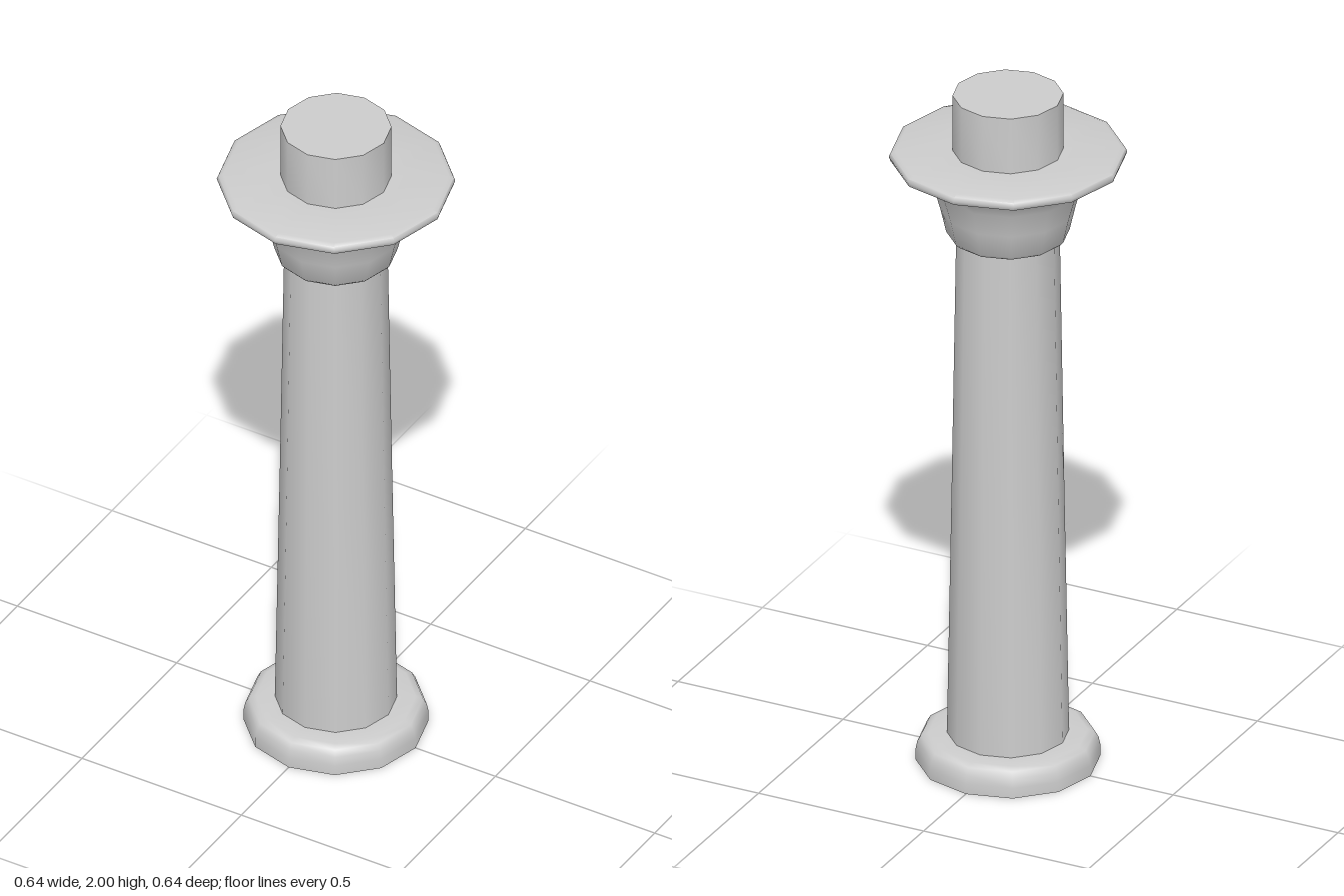
import * as THREE from 'three';
import { toCreasedNormals } from 'three/addons/utils/BufferGeometryUtils.js';

const SIDES = 12;
const material = new THREE.MeshStandardMaterial({ color: 0xcccccc, side: THREE.DoubleSide });

// Turned part from [radius, height] pairs running bottom to top
function turned(name, profile) {
  const points = profile.map(([r, y]) => new THREE.Vector2(r, y));
  const geometry = toCreasedNormals(new THREE.LatheGeometry(points, SIDES), THREE.MathUtils.degToRad(50));
  const mesh = new THREE.Mesh(geometry, material);
  mesh.name = name;
  return mesh;
}

export function createModel() {
  const column = new THREE.Group();
  column.name = 'column';
  column.add(
    // Rounded foot, open underneath
    turned('base', [[0.25, 0], [0.25, 0.03], [0.245, 0.055], [0.235, 0.073], [0.215, 0.08], [0.165, 0.08]]),
    // Hollow tapering shaft
    turned('shaft', [[0.165, 0.08], [0.152, 0.83], [0.14, 1.58]]),
    // Flared capital with a thin rounded rim
    turned('capital', [
      [0.14, 1.58], [0.158, 1.58], [0.167, 1.59], [0.183, 1.66], [0.203, 1.73], [0.225, 1.77],
      [0.255, 1.8], [0.305, 1.802], [0.318, 1.808], [0.322, 1.82], [0.318, 1.83], [0.305, 1.835], [0.15, 1.835],
    ]),
    // Plain drum on top, closed by a flat cap
    turned('topDrum', [[0.15, 1.835], [0.15, 2], [0, 2]]),
  );
  return column;
}
